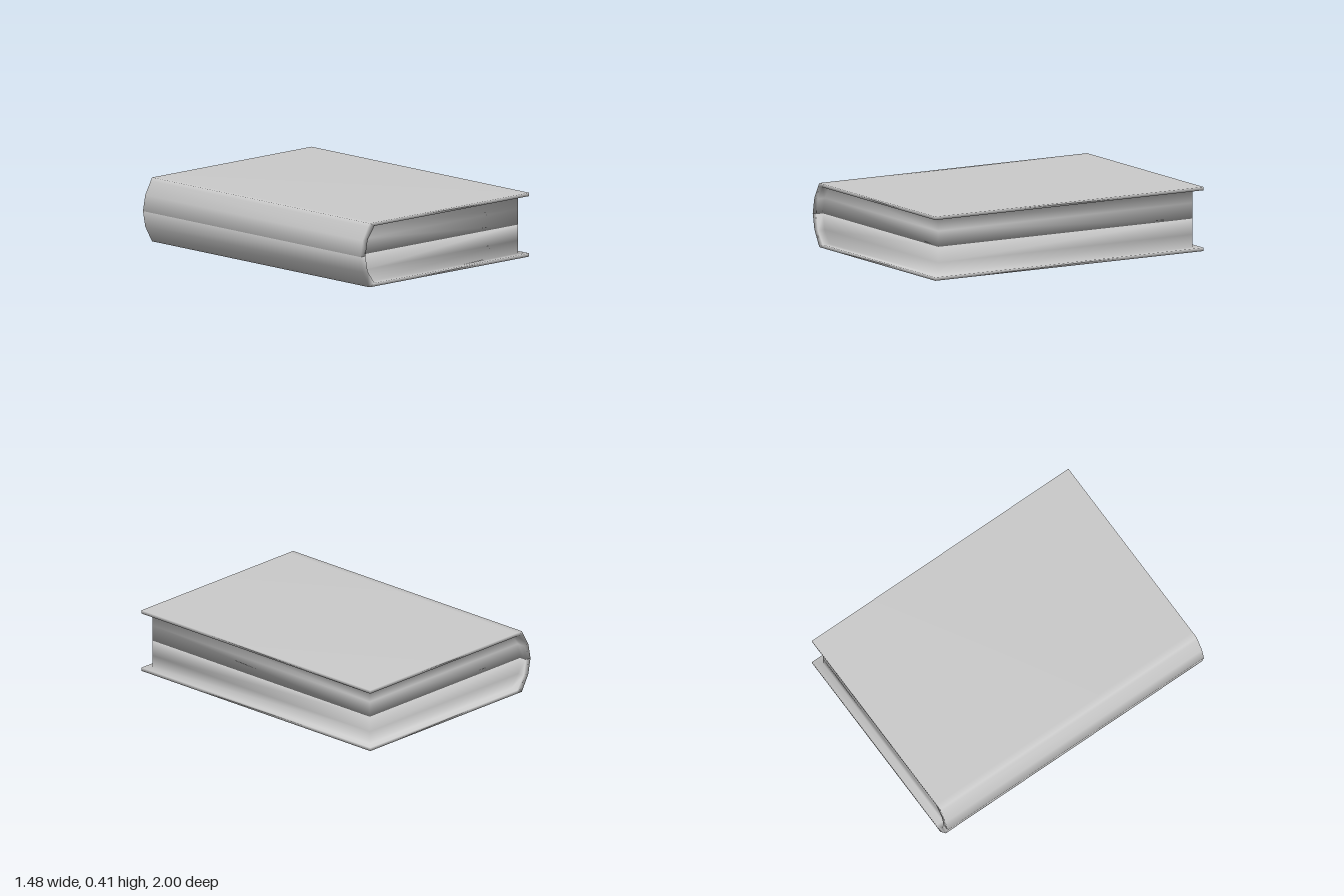
import * as THREE from 'three';
import { mergeVertices } from 'three/addons/utils/BufferGeometryUtils.js';

const MID = 0.207; // height of the seam between the two halves
const END = 1, PAGE_END = 0.95, COVER_EDGE = 0.74, PAGE_EDGE = 0.692;

// Horizontal section: spine strip from xo to xi, then a block out to xEdge
const section = (y, xo, xi, xEdge, zBlock) => {
  const front = [[xo, END], [xi, END], [xi, zBlock], [xEdge, zBlock]];
  const back = front.map(([x, z]) => [x, -z]).reverse();
  return [...front, ...back].map(([x, z]) => [x, y, z]);
};

// One closed half of the book: cover board, half the spine and half the pages
function halfBook(mirrored) {
  const sections = [
    section(0, -0.66, -0.617, COVER_EDGE, END),
    section(0.022, -0.673, -0.617, COVER_EDGE, END),
    section(0.022, -0.673, -0.617, PAGE_EDGE, PAGE_END),
    section(0.105, -0.72, -0.677, PAGE_EDGE, PAGE_END),
    section(MID, -0.74, -0.696, PAGE_EDGE, PAGE_END),
  ];
  const n = 8, index = [];
  const quad = (a, b, c, d) => index.push(...(mirrored ? [a, c, b, a, d, c] : [a, b, c, a, c, d]));

  // Walls between neighbouring sections
  for (let j = 0; j < sections.length - 1; j++) {
    for (let i = 0; i < n; i++) {
      const k = (i + 1) % n;
      quad(j * n + i, j * n + k, (j + 1) * n + k, (j + 1) * n + i);
    }
  }
  // Outer face of the board and the closing face at the seam
  const top = (sections.length - 1) * n;
  for (let i = 0; i < 3; i++) {
    quad(7 - i, 6 - i, i + 1, i);
    quad(top + i, top + i + 1, top + 6 - i, top + 7 - i);
  }

  const points = sections.flat(2).map((v, i) => (mirrored && i % 3 === 1 ? 2 * MID - v : v));
  const geometry = new THREE.BufferGeometry();
  geometry.setAttribute('position', new THREE.Float32BufferAttribute(points, 3));
  geometry.setIndex(index);
  const smooth = mergeVertices(geometry);
  smooth.computeVertexNormals();
  return smooth;
}

export function createModel() {
  const book = new THREE.Group();
  book.name = 'book';
  const material = new THREE.MeshStandardMaterial({ color: 0xcccccc });
  for (const [name, mirrored] of [['lowerCoverAndPages', false], ['upperCoverAndPages', true]]) {
    const mesh = new THREE.Mesh(halfBook(mirrored), material);
    mesh.name = name;
    book.add(mesh);
  }
  return book;
}
